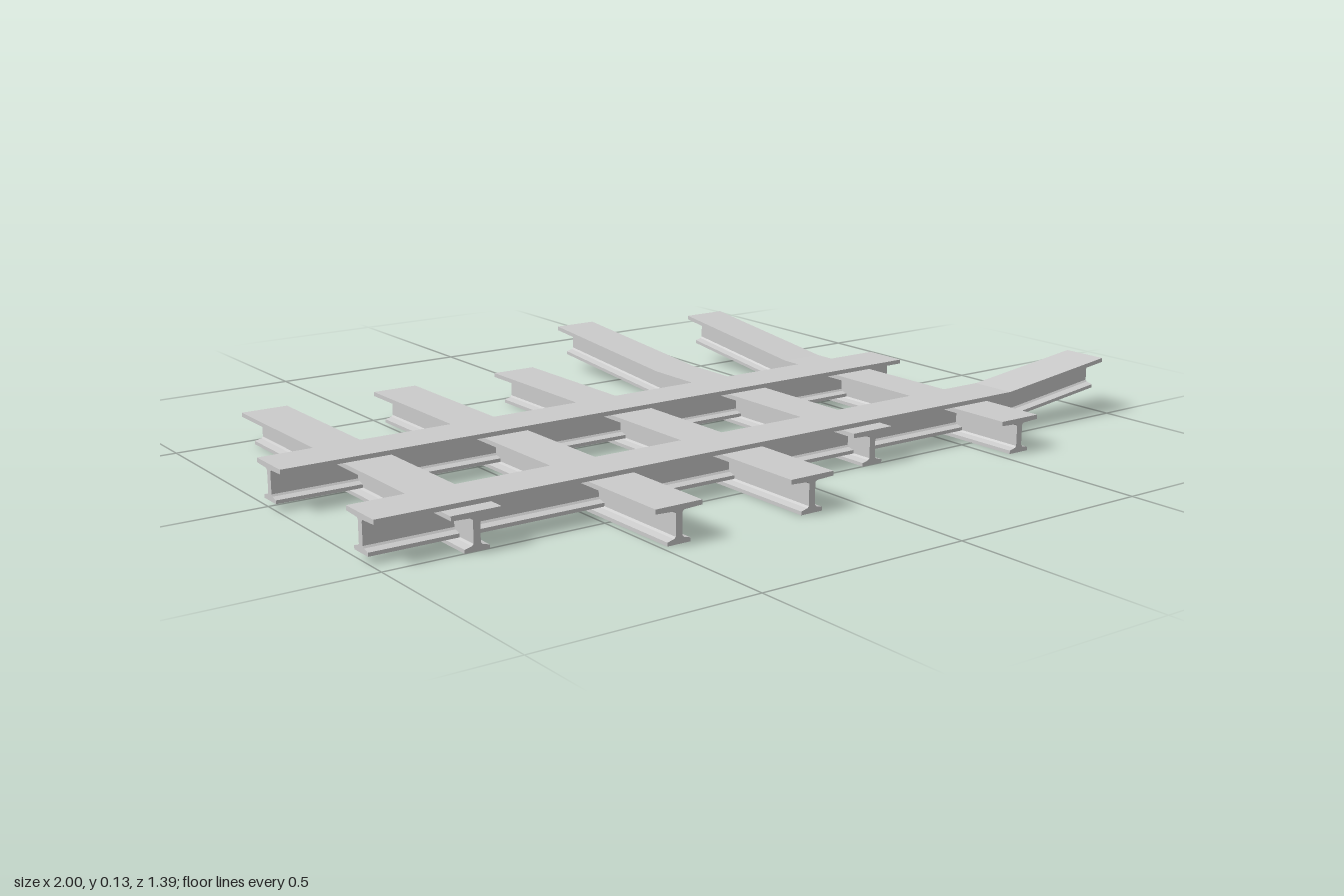
import * as THREE from 'three';

const material = new THREE.MeshStandardMaterial({ color: 0xcccccc });
const HEIGHT = 0.08;

// Rail profile: wide top flange, thin web, narrow foot with sloped shoulders
function railProfile() {
  const half = [
    [0.028, 0], [0.028, 0.008], [0.012, 0.012], [0.008, 0.016],
    [0.008, HEIGHT - 0.016], [0.012, HEIGHT - 0.012],
    [0.056, HEIGHT - 0.01], [0.056, HEIGHT],
  ];
  const mirrored = half.map(([x, y]) => [-x, y]).reverse();
  return new THREE.Shape([...half, ...mirrored].map(([x, y]) => new THREE.Vector2(x, y)));
}

// Beam along +z passing through stations [position, lift]; ends stay vertical
function beam(name, stations) {
  const steps = stations.length - 1;
  const geometry = new THREE.ExtrudeGeometry(railProfile(), { depth: steps, steps, bevelEnabled: false });
  const p = geometry.attributes.position;
  for (let i = 0; i < p.count; i++) {
    const [z, lift] = stations[Math.round(p.getZ(i))];
    p.setY(i, p.getY(i) + lift);
    p.setZ(i, z);
  }
  geometry.computeVertexNormals();
  const mesh = new THREE.Mesh(geometry, material);
  mesh.name = name;
  return mesh;
}

export function createModel() {
  const group = new THREE.Group();
  group.name = 'beamGrid';

  // Lower beams running front to back, two with upturned rear ends
  const crossBeams = [
    [-0.795, [[-0.465, 0], [0.5, 0]]],
    [-0.457, [[-0.465, 0], [0.692, 0]]],
    [-0.12, [[-0.465, 0], [0.692, 0]]],
    [0.22, [[-0.698, 0.038], [-0.242, 0], [0.5, 0]]],
    [0.56, [[-0.565, 0.049], [-0.145, 0], [0.62, 0]]],
  ];
  crossBeams.forEach(([x, stations], i) => {
    const mesh = beam(`crossBeam${i + 1}`, stations);
    mesh.position.x = x;
    group.add(mesh);
  });

  // Upper beams running side to side, the front one bent up at its left end
  const longBeams = [
    ['rearLongBeam', 0.012, [[-1, 0], [0.707, 0]]],
    ['frontLongBeam', 0.419, [[-1, 0], [0.68, 0], [1, 0.04]]],
  ];
  for (const [name, z, stations] of longBeams) {
    const mesh = beam(name, stations);
    mesh.rotation.y = Math.PI / 2;
    mesh.position.set(0, 0.015, z);
    group.add(mesh);
  }
  return group;
}
